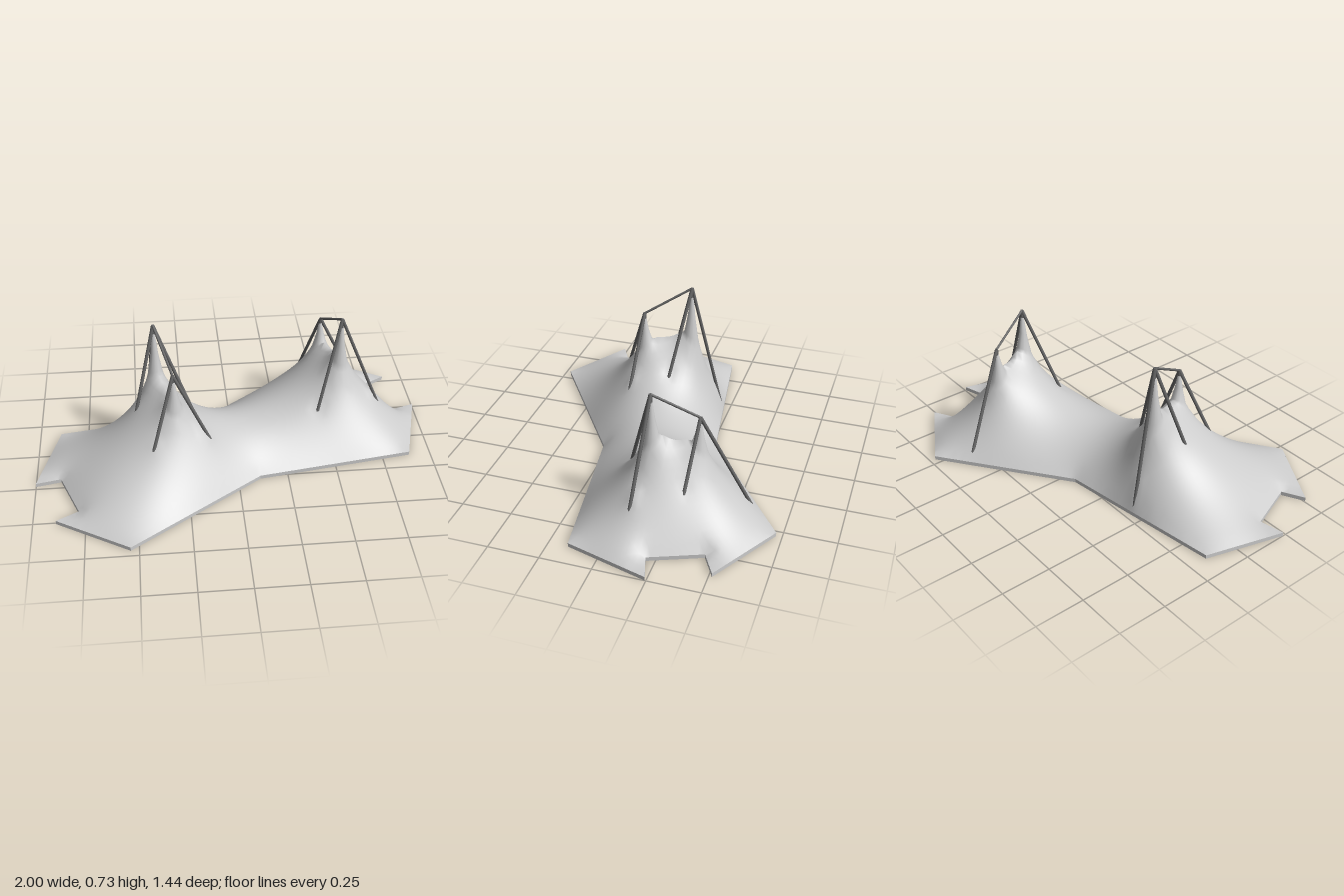
import * as THREE from 'three';

const HEM = 0.02;
// Ground outline as [x, z]
const outline = [[-0.89, -0.155], [-0.07, -0.275], [0.535, -0.722], [0.89, -0.515],
  [0.778, -0.453], [0.877, -0.208], [1, -0.245], [0.89, 0.155], [0.11, 0.272], [-0.54, 0.717],
  [-0.89, 0.507], [-0.783, 0.45], [-0.877, 0.208], [-1, 0.232]];

// Masts: tip [x, y, z], height of the fabric at the foot of its spike,
// and the points where the stays pass through the fabric
const masts = [
  { tip: [-0.385, 0.73, -0.047], foot: 0.46, stays: [[-0.43, 0.17, -0.175], [-0.22, 0.3, 0.022], [-0.48, 0.34, 0.06]] },
  { tip: [-0.305, 0.592, 0.183], foot: 0.42, stays: [[-0.165, 0.29, 0.207], [-0.4, 0.28, 0.29]] },
  { tip: [0.555, 0.66, -0.13], foot: 0.43, stays: [[0.73, 0.24, -0.1], [0.435, 0.22, 0]] },
  { tip: [0.485, 0.538, -0.34], foot: 0.385, stays: [[0.63, 0.25, -0.315], [0.41, 0.09, -0.555]] },
];
// Fabric ridge between the two masts of each pair, as heights along the line
const ridges = [[0.475, 0.46, 0.453, 0.452, 0.452], [0.445, 0.428, 0.42, 0.42, 0.423]];

let seed = 7;
const jitter = (a) => {
  seed = (seed * 16807) % 2147483647;
  return (seed / 2147483647 - 0.5) * a;
};

function inside(x, z) {
  let hit = false;
  outline.forEach(([ax, az], i) => {
    const [bx, bz] = outline[(i + 1) % outline.length];
    if ((az > z) !== (bz > z) && x < ax + ((z - az) * (bx - ax)) / (bz - az)) hit = !hit;
  });
  return hit;
}

// Plan points: x, z, height y, and whether the height is fixed
function planPoints() {
  const pts = [];
  const add = (x, z, y, fixed, j) => pts.push({ x: x + jitter(j), z: z + jitter(j), y, fixed });
  outline.forEach(([ax, az], i) => {
    const [bx, bz] = outline[(i + 1) % outline.length];
    const n = Math.ceil(Math.hypot(bx - ax, bz - az) / 0.025);
    for (let k = 0; k < n; k++) add(ax + ((bx - ax) * k) / n, az + ((bz - az) * k) / n, HEM, true, 1e-5);
  });
  ridges.forEach((heights, i) => {
    const a = masts[2 * i].tip, b = masts[2 * i + 1].tip;
    heights.forEach((y, k) => {
      const t = 0.26 + 0.12 * k;
      add(a[0] + (b[0] - a[0]) * t, a[2] + (b[2] - a[2]) * t, y, true, 1e-4);
    });
  });
  // The stays hold the fabric where they pass through it
  masts.forEach(({ stays }) => stays.forEach(([x, y, z]) => add(x, z, y - 0.008, true, 1e-4)));
  const border = pts.slice();
  masts.forEach(({ tip: [x, y, z], foot }, m) => {
    const mate = masts[m ^ 1].tip, toMate = Math.atan2(mate[2] - z, mate[0] - x);
    add(x, z, y, true, 1e-5);
    // Steep spike of three fixed rings, tilted towards the ridge, then a free ring
    [0.009, 0.02, 0.037, 0.05].forEach((r, k) => {
      for (let i = 0; i < 12; i++) {
        const a = ((i + k / 2) / 12) * Math.PI * 2;
        const low = foot + 0.025 * Math.cos(a - toMate);
        const h = low + (y - low) * [0.8, 0.4, 0, 0][k];
        add(x + r * Math.cos(a), z + r * Math.sin(a), h, k < 3, 2e-4);
      }
    });
  });
  const s = 0.03;
  for (let j = -28; j <= 28; j++) {
    for (let i = -34; i <= 34; i++) {
      const x = (i + (j & 1) / 2) * s, z = j * s * 0.866;
      if (!inside(x, z)) continue;
      if (border.some((p) => Math.hypot(p.x - x, p.z - z) < 0.018)) continue;
      if (masts.some(({ tip }) => Math.hypot(tip[0] - x, tip[2] - z) < 0.066)) continue;
      add(x, z, 0.15, false, 1e-3);
    }
  }
  return pts;
}

// Delaunay triangulation of the plan
function triangulate(pts) {
  const n = pts.length;
  const all = [...pts, { x: -40, z: -30 }, { x: 41, z: -31 }, { x: 1, z: 45 }];
  const make = (a, b, c) => {
    const A = all[a], bx = all[b].x - A.x, bz = all[b].z - A.z, cx = all[c].x - A.x, cz = all[c].z - A.z;
    const d = 2 * (bx * cz - bz * cx), b2 = bx * bx + bz * bz, c2 = cx * cx + cz * cz;
    const ux = (cz * b2 - bz * c2) / d, uz = (bx * c2 - cx * b2) / d;
    return { v: [a, b, c], x: A.x + ux, z: A.z + uz, r: ux * ux + uz * uz };
  };
  let tris = [make(n, n + 1, n + 2)];
  for (let p = 0; p < n; p++) {
    const keep = [], edges = new Map();
    for (const t of tris) {
      if ((pts[p].x - t.x) ** 2 + (pts[p].z - t.z) ** 2 >= t.r) { keep.push(t); continue; }
      for (let e = 0; e < 3; e++) {
        const a = t.v[e], b = t.v[(e + 1) % 3];
        if (!edges.delete(b + '_' + a)) edges.set(a + '_' + b, [a, b]);
      }
    }
    for (const [a, b] of edges.values()) keep.push(make(a, b, p));
    tris = keep;
  }
  // Keep well-shaped triangles inside the outline
  return tris.map((t) => t.v).filter((v) => {
    if (v.some((i) => i >= n)) return false;
    const [a, b, c] = v.map((i) => pts[i]);
    const area = Math.abs((b.x - a.x) * (c.z - a.z) - (b.z - a.z) * (c.x - a.x));
    const long = Math.max(...[[a, b], [b, c], [c, a]].map(([p, q]) => (p.x - q.x) ** 2 + (p.z - q.z) ** 2));
    return area / long > 0.01 && inside((a.x + b.x + c.x) / 3, (a.z + b.z + c.z) / 3);
  });
}

// Stretch the fabric between the fixed points, with an outward billow
function relax(pts, tris) {
  const BILLOW = 1.25;
  const links = pts.map(() => new Map()), lift = pts.map(() => 0);
  for (const v of tris) {
    for (let e = 0; e < 3; e++) {
      const [i, j, k] = [v[e], v[(e + 1) % 3], v[(e + 2) % 3]];
      const ax = pts[i].x - pts[k].x, az = pts[i].z - pts[k].z, bx = pts[j].x - pts[k].x, bz = pts[j].z - pts[k].z;
      const area2 = Math.abs(ax * bz - az * bx), w = (ax * bx + az * bz) / area2;
      links[i].set(j, (links[i].get(j) || 0) + w);
      links[j].set(i, (links[j].get(i) || 0) + w);
      lift[k] += (BILLOW * area2) / 3;
    }
  }
  const free = pts.map((p, i) => [p, [...links[i]], lift[i]]).filter(([p, l]) => !p.fixed && l.length);
  for (let it = 0; it < 500; it++) {
    for (const [p, list, load] of free) {
      let sum = load, total = 0;
      for (const [j, w] of list) { sum += w * pts[j].y; total += w; }
      if (total > 1e-9) p.y += 1.7 * (sum / total - p.y);
    }
  }
}

function surface(positions, index) {
  const g = new THREE.BufferGeometry();
  g.setAttribute('position', new THREE.Float32BufferAttribute(positions, 3));
  g.setIndex(index);
  g.computeVertexNormals();
  return g;
}

export function createModel() {
  const model = new THREE.Group();
  const cloth = new THREE.MeshStandardMaterial({ color: 0xcccccc, side: THREE.DoubleSide });
  const steel = new THREE.MeshStandardMaterial({ color: 0x666666 });
  const add = (geo, mat, name) => {
    const m = new THREE.Mesh(geo, mat);
    m.name = name;
    model.add(m);
  };
  const rod = (a, b, name, r = 0.0085) => {
    const A = new THREE.Vector3(...a), d = new THREE.Vector3(...b).sub(A);
    const g = new THREE.CylinderGeometry(r, r, d.length(), 8);
    g.applyQuaternion(new THREE.Quaternion().setFromUnitVectors(new THREE.Vector3(0, 1, 0), d.clone().normalize()));
    g.translate(...A.addScaledVector(d, 0.5).toArray());
    add(g, steel, name);
  };

  // Tent fabric
  const pts = planPoints();
  const tris = triangulate(pts);
  relax(pts, tris);
  const up = tris.flatMap(([a, b, c]) => {
    const A = pts[a], B = pts[b], C = pts[c];
    return (B.x - A.x) * (C.z - A.z) - (B.z - A.z) * (C.x - A.x) > 0 ? [a, c, b] : [a, b, c];
  });
  add(surface(pts.flatMap((p) => [p.x, p.y, p.z]), up), cloth, 'tentFabric');

  // Upright hem along the ground
  const pos = [], idx = [];
  outline.forEach(([ax, az], i) => {
    const [bx, bz] = outline[(i + 1) % outline.length], k = i * 4;
    pos.push(ax, 0, az, bx, 0, bz, bx, HEM, bz, ax, HEM, az);
    idx.push(k, k + 2, k + 1, k, k + 3, k + 2);
  });
  add(surface(pos, idx), cloth, 'hem');

  // Masts, stays running on to the ground, and the bars joining each pair of tips
  masts.forEach(({ tip, stays }, i) => {
    rod([tip[0], 0, tip[2]], tip, 'mast');
    for (const s of stays) {
      const t = (tip[1] - 0.01) / (tip[1] - s[1]);
      rod(tip, tip.map((c, k) => c + (s[k] - c) * t), 'stay');
    }
    if (i % 2) rod(masts[i - 1].tip, tip, 'ridgeBar', 0.006);
  });
  return model;
}
